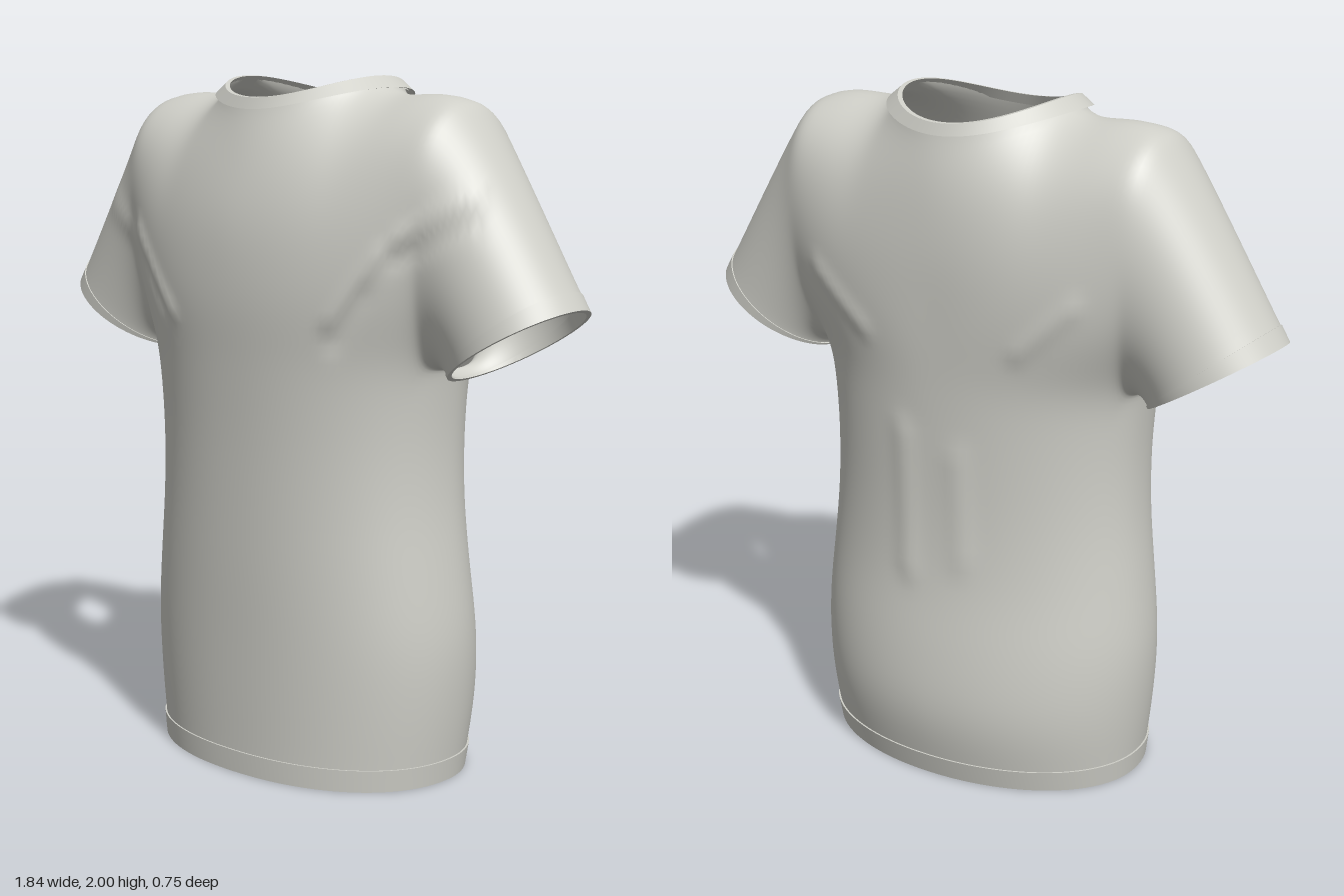
import * as THREE from 'three';
import { mergeVertices, toCreasedNormals } from 'three/addons/utils/BufferGeometryUtils.js';

const V = (x, y, z) => new THREE.Vector3(x, y, z);
const K = 8, M = 28, R = 32;                 // segments: underarm, half panel, armhole edge
const ARMPIT = 1.2, TH0 = (K / (K + M)) * Math.PI / 2;
const NECK = 0.255, SEAM = 0.46;             // neck radius, share of the top edge that is shoulder
const SLEEVE_DIR = V(0.51, -0.86, 0);

// Torso half width, front depth and back depth at every 0.2 of height
const torsoProfile = new THREE.CatmullRomCurve3([
  V(0.505, 0.355, 0.335), V(0.53, 0.357, 0.376), V(0.54, 0.358, 0.362), V(0.522, 0.36, 0.33),
  V(0.502, 0.36, 0.315), V(0.5, 0.362, 0.312), V(0.517, 0.37, 0.312),
], false, 'catmullrom');

// Quarter of a horizontal section, from the side (0) to the middle (PI / 2)
function ring(y, th, back) {
  const p = torsoProfile.getPoint(y / ARMPIT), e = back ? 0.97 : 0.92;
  return V(p.x * Math.abs(Math.cos(th)) ** e, y, (back ? p.z : p.y) * Math.abs(Math.sin(th)) ** e);
}

const neckline = (a, grow = 0, drop = 0) => {
  const c = Math.cos(a), r = NECK + grow * (0.33 + 0.67 * c * c);
  return V(r * c, 1.94 + 0.06 * c * c - drop, r * Math.sin(a));
};

const cuff = (a) => V(0.735 - 0.185 * Math.cos(a), 1.28 - 0.11 * Math.cos(a), 0.2 * Math.sin(a));

const shoulder = new THREE.CatmullRomCurve3(
  [V(0.555, 1.947, 0), V(0.45, 1.968, 0), V(0.31, 1.968, 0), V(NECK, 2, 0)]);

// Edge curves of a front or back half panel
function panelEdges(back) {
  const armhole = new THREE.CatmullRomCurve3([
    ring(ARMPIT, TH0, back), V(0.525, 1.42, 0.205), V(0.54, 1.68, 0.222),
    V(0.552, 1.85, 0.178), V(0.555, 1.927, 0.09), V(0.555, 1.947, 0)]);
  const zs = back ? [0.312, 0.314, 0.315, 0.295, NECK] : [0.37, 0.38, 0.365, 0.31, NECK];
  const middle = new THREE.CatmullRomCurve3([1.2, 1.4, 1.6, 1.79, 1.94].map((y, i) => V(0, y, zs[i])));
  const bottom = (u) => ring(ARMPIT, TH0 + u * (Math.PI / 2 - TH0), back);
  const top = (u) => u < SEAM ? shoulder.getPointAt(u / SEAM)
    : neckline((u - SEAM) / (1 - SEAM) * Math.PI / 2);
  return { armhole, middle, bottom, top };
}

// Surface blended between four edge curves, rounding over quickly at the shoulder
function panelPoint(e, u, v) {
  const topBend = e.top(u).sub(e.top(0).lerp(e.top(1), u));
  const bottomBend = e.bottom(u).sub(e.bottom(0).lerp(e.bottom(1), u));
  return e.armhole.getPointAt(v).lerp(e.middle.getPointAt(v), u)
    .addScaledVector(topBend, v ** 5).addScaledVector(bottomBend, 1 - v);
}

// Sleeve line from the armhole to the matching cuff point
function sleevePoint(e, back, i, t) {
  const a = i <= K ? ring(ARMPIT, TH0 * i / K, back) : e.armhole.getPointAt((i - K) / R);
  const c = cuff(Math.PI * i / (K + R));
  const mid = c.clone().addScaledVector(SLEEVE_DIR, -0.85 * a.distanceTo(c));
  return new THREE.QuadraticBezierCurve3(a, mid, c).getPoint(t);
}

// Adds a grid of quads, mirrored by sx and sz
function addPatch(out, nu, nv, sx, sz, fn) {
  const base = out.pos.length / 3;
  for (let j = 0; j <= nv; j++) for (let i = 0; i <= nu; i++) {
    const p = fn(i, j);
    out.pos.push(p.x * sx, p.y, p.z * sz);
  }
  for (let j = 0; j < nv; j++) for (let i = 0; i < nu; i++) {
    const a = base + j * (nu + 1) + i, b = a + 1, c = a + nu + 1, d = c + 1;
    out.idx.push(...(sx * sz > 0 ? [a, c, b, b, c, d] : [a, b, c, b, d, c]));
  }
}

// Relaxes the surface while open edges stay fixed
function relax(geo, passes) {
  const pos = geo.attributes.position, idx = geo.index.array;
  const near = Array.from({ length: pos.count }, () => new Map());
  const link = (a, b) => {
    near[a].set(b, (near[a].get(b) || 0) + 1);
    near[b].set(a, (near[b].get(a) || 0) + 1);
  };
  for (let i = 0; i < idx.length; i += 3)
    for (let k = 0; k < 3; k++) link(idx[i + k], idx[i + (k + 1) % 3]);
  const fixed = near.map((m) => [...m.values()].includes(1));
  const p = V(), q = V();
  while (passes--) {
    const old = pos.clone();
    near.forEach((m, i) => {
      if (fixed[i]) return;
      p.set(0, 0, 0);
      for (const n of m.keys()) p.add(q.fromBufferAttribute(old, n));
      q.fromBufferAttribute(old, i).lerp(p.divideScalar(m.size), 0.5);
      pos.setXYZ(i, q.x, q.y, q.z);
    });
  }
}

// Cloth folds: x0, y0, x1, y1, side (1 front, -1 back), height, width
const FOLDS = [
  [-0.46, 1.55, -0.24, 1.33, 1, 0.009, 0.022], [-0.4, 1.45, -0.3, 1.34, 1, -0.006, 0.025],
  [0.46, 1.53, 0.33, 1.34, 1, 0.01, 0.022], [0.42, 1.42, 0.34, 1.28, 1, -0.006, 0.025],
  [0.5, 1.57, 0.68, 1.68, 1, 0.009, 0.022], [0.5, 1.51, 0.7, 1.62, 1, -0.006, 0.022],
  [-0.66, 1.62, -0.5, 1.52, 1, 0.006, 0.03], [0.42, 1.48, 0.24, 1.34, -1, 0.007, 0.03],
  [-0.42, 1.48, -0.27, 1.34, -1, 0.007, 0.03], [0.1, 1.05, 0.08, 0.65, -1, 0.008, 0.04],
  [-0.08, 1.0, -0.1, 0.7, -1, 0.006, 0.04],
];
function addFolds(geo) {
  geo.computeVertexNormals();
  const pos = geo.attributes.position, nor = geo.attributes.normal, p = V(), n = V(), near = V();
  for (let i = 0; i < pos.count; i++) {
    p.fromBufferAttribute(pos, i);
    n.fromBufferAttribute(nor, i);
    let h = 0;
    for (const [x0, y0, x1, y1, side, amp, w] of FOLDS) {
      if (n.z * side < 0) continue;
      new THREE.Line3(V(x0, y0, p.z), V(x1, y1, p.z)).closestPointToPoint(p, true, near);
      h += amp * Math.exp(-((p.distanceTo(near) / w) ** 2)) * Math.min(1, n.z * side * 2);
    }
    pos.setXYZ(i, p.x + n.x * h, p.y + n.y * h, p.z + n.z * h);
  }
  geo.computeVertexNormals();
}

// Folded edge band between an opening and its stitch line
function bandGeometry(edge, stitch, raise = 0.004, fold = 0.012, n = 96) {
  const pos = [], idx = [], centre = V();
  for (let i = 0; i < n; i++) centre.addScaledVector(edge(i / n * Math.PI * 2), 1 / n);
  for (let i = 0; i < n; i++) {
    const a = edge(i / n * Math.PI * 2), b = stitch(i / n * Math.PI * 2);
    const o = a.clone().sub(centre).normalize();
    for (const [p, h] of [[b, -0.002], [b, raise], [a, raise], [a, -fold], [b, -fold]])
      pos.push(...p.clone().addScaledVector(o, h).toArray());
    for (let k = 0; k < 4; k++) {
      const q = i * 5 + k, r = ((i + 1) % n) * 5 + k;
      idx.push(q, r, q + 1, r, r + 1, q + 1);
    }
  }
  const g = new THREE.BufferGeometry();
  g.setAttribute('position', new THREE.Float32BufferAttribute(pos, 3));
  g.setIndex(idx);
  return toCreasedNormals(g, 0.7);
}

export function createModel() {
  const cloth = new THREE.MeshStandardMaterial({ color: 0xcfcfc8, side: THREE.DoubleSide });
  cloth.name = 'greyCloth';
  const shirt = new THREE.Group();
  shirt.name = 'shirt';
  const add = (geo, name) => {
    const m = new THREE.Mesh(geo, cloth);
    m.name = name;
    shirt.add(m);
  };

  // Torso quarters first, then each sleeve
  const out = { pos: [], idx: [] }, ends = [0];
  const edges = { 1: panelEdges(false), [-1]: panelEdges(true) };
  for (const sx of [1, -1]) for (const sz of [1, -1]) {
    addPatch(out, K + M, 36, sx, sz, (i, j) => ring(ARMPIT * j / 36, i / (K + M) * Math.PI / 2, sz < 0));
    addPatch(out, M, R, sx, sz, (i, j) => panelPoint(edges[sz], i / M, j / R));
  }
  ends.push(out.idx.length);
  for (const sx of [1, -1]) {
    for (const sz of [1, -1])
      addPatch(out, K + R, 20, sx, sz, (i, j) => sleevePoint(edges[sz], sz < 0, i, j / 20));
    ends.push(out.idx.length);
  }
  let shell = new THREE.BufferGeometry();
  shell.setAttribute('position', new THREE.Float32BufferAttribute(out.pos, 3));
  shell.setIndex(out.idx);
  shell = mergeVertices(shell, 1e-4);
  relax(shell, 10);
  addFolds(shell);
  ['torso', 'leftSleeve', 'rightSleeve'].forEach((name, k) => {
    const part = new THREE.BufferGeometry();
    part.setAttribute('position', shell.attributes.position);
    part.setAttribute('normal', shell.attributes.normal);
    part.setIndex(Array.from(shell.index.array.slice(ends[k], ends[k + 1])));
    add(part, name);
  });

  // Hem, collar and cuffs
  const hem = (y) => (a) => {
    const p = ring(y, a, Math.sin(a) < 0);
    return V(p.x * Math.sign(Math.cos(a)), y, p.z * Math.sign(Math.sin(a)));
  };
  add(bandGeometry(hem(0), hem(0.065)), 'hem');
  add(bandGeometry((a) => neckline(a), (a) => neckline(a, 0.04, 0.032), 0.003, 0.01), 'collar');
  for (const [sx, name] of [[1, 'leftCuff'], [-1, 'rightCuff']]) {
    const flip = (p) => V(p.x * sx, p.y, p.z);
    add(bandGeometry((a) => flip(cuff(a)),
      (a) => flip(cuff(a).addScaledVector(SLEEVE_DIR, -0.03 + 0.025 * Math.cos(a))), 0.002), name);
  }
  return shirt;
}
